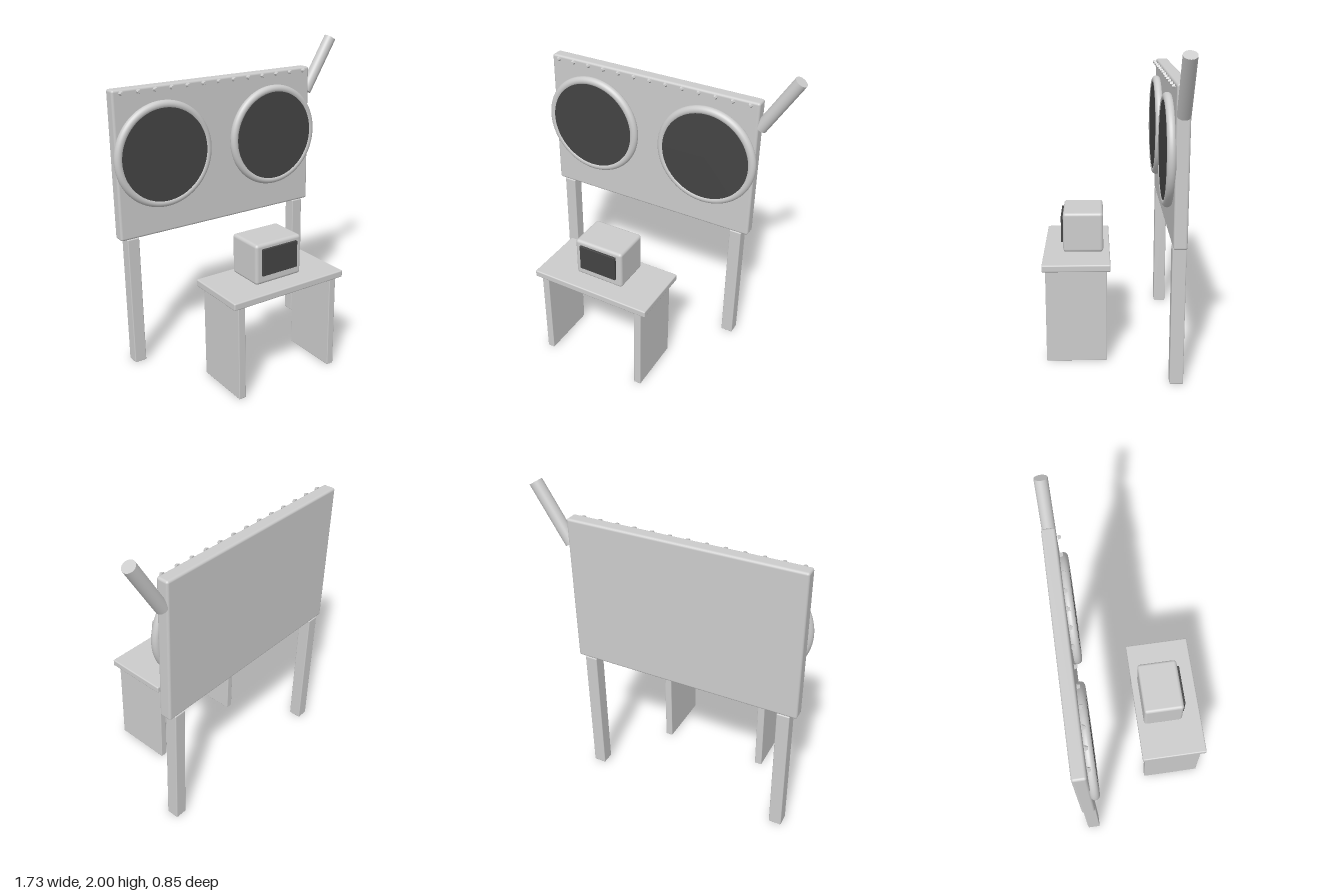
import * as THREE from 'three';
import { RoundedBoxGeometry } from 'three/addons/geometries/RoundedBoxGeometry.js';

export function createModel() {
  const model = new THREE.Group();
  const grey = new THREE.MeshStandardMaterial({ color: 0xcccccc });
  grey.name = 'light grey';
  const dark = new THREE.MeshStandardMaterial({ color: 0x444444 });
  dark.name = 'dark grey';

  function add(name, geometry, material, x, y, z) {
    const mesh = new THREE.Mesh(geometry, material);
    mesh.name = name;
    mesh.position.set(x, y, z);
    model.add(mesh);
    return mesh;
  }

  // Box given by its limits on each axis, with softened edges
  function box(name, [x0, x1], [y0, y1], [z0, z1], radius, material = grey) {
    const geometry = new RoundedBoxGeometry(x1 - x0, y1 - y0, z1 - z0, 3, radius);
    return add(name, geometry, material, (x0 + x1) / 2, (y0 + y1) / 2, (z0 + z1) / 2);
  }

  // Standing board on two posts
  const boardZ = [-0.427, -0.345];
  box('board', [-0.845, 0.612], [0.865, 1.805], boardZ, 0.015);
  for (const x of [-0.762, 0.526]) box('boardPost', [x - 0.04, x + 0.04], [0, 0.866], boardZ, 0.006);

  // Two large round dials, each a ring with a dark face
  for (const x of [-0.53, 0.295]) {
    add('dialRing', new THREE.TorusGeometry(0.31, 0.027, 20, 72), grey, x, 1.38, -0.325);
    const face = add('dialFace', new THREE.CylinderGeometry(0.295, 0.295, 0.036, 72), dark, x, 1.38, -0.32);
    face.rotation.x = Math.PI / 2;
  }

  // Row of tapered studs along the top edge
  const studGeometry = new THREE.CylinderGeometry(0.01, 0.016, 0.018, 6).toNonIndexed();
  studGeometry.computeVertexNormals();
  studGeometry.rotateY(Math.PI / 6).rotateX(Math.PI / 2);
  for (let i = 0; i < 13; i++) add('stud', studGeometry, grey, -0.79 + i * 0.112, 1.785, -0.33);

  // Slanted lever on the side of the board
  const low = new THREE.Vector3(0.615, 1.635, -0.386);
  const high = new THREE.Vector3(0.826, 1.977, -0.386);
  const axis = high.clone().sub(low);
  const mid = low.clone().add(high).multiplyScalar(0.5);
  const lever = add('lever', new THREE.CylinderGeometry(0.04, 0.04, axis.length(), 32), grey, mid.x, mid.y, mid.z);
  lever.quaternion.setFromUnitVectors(new THREE.Vector3(0, 1, 0), axis.normalize());

  // Small table with slab sides
  box('tableTop', [-0.525, 0.29], [0.615, 0.66], [0.003, 0.427], 0.008);
  for (const x of [-0.463, 0.226]) box('tableSide', [x - 0.024, x + 0.024], [0, 0.617], [0.025, 0.408], 0.005);

  // Monitor on the table
  box('monitorCase', [-0.285, 0.052], [0.66, 0.92], [0.045, 0.302], 0.02);
  box('monitorScreen', [-0.245, 0.013], [0.718, 0.89], [0.298, 0.316], 0.002, dark);

  return model;
}
